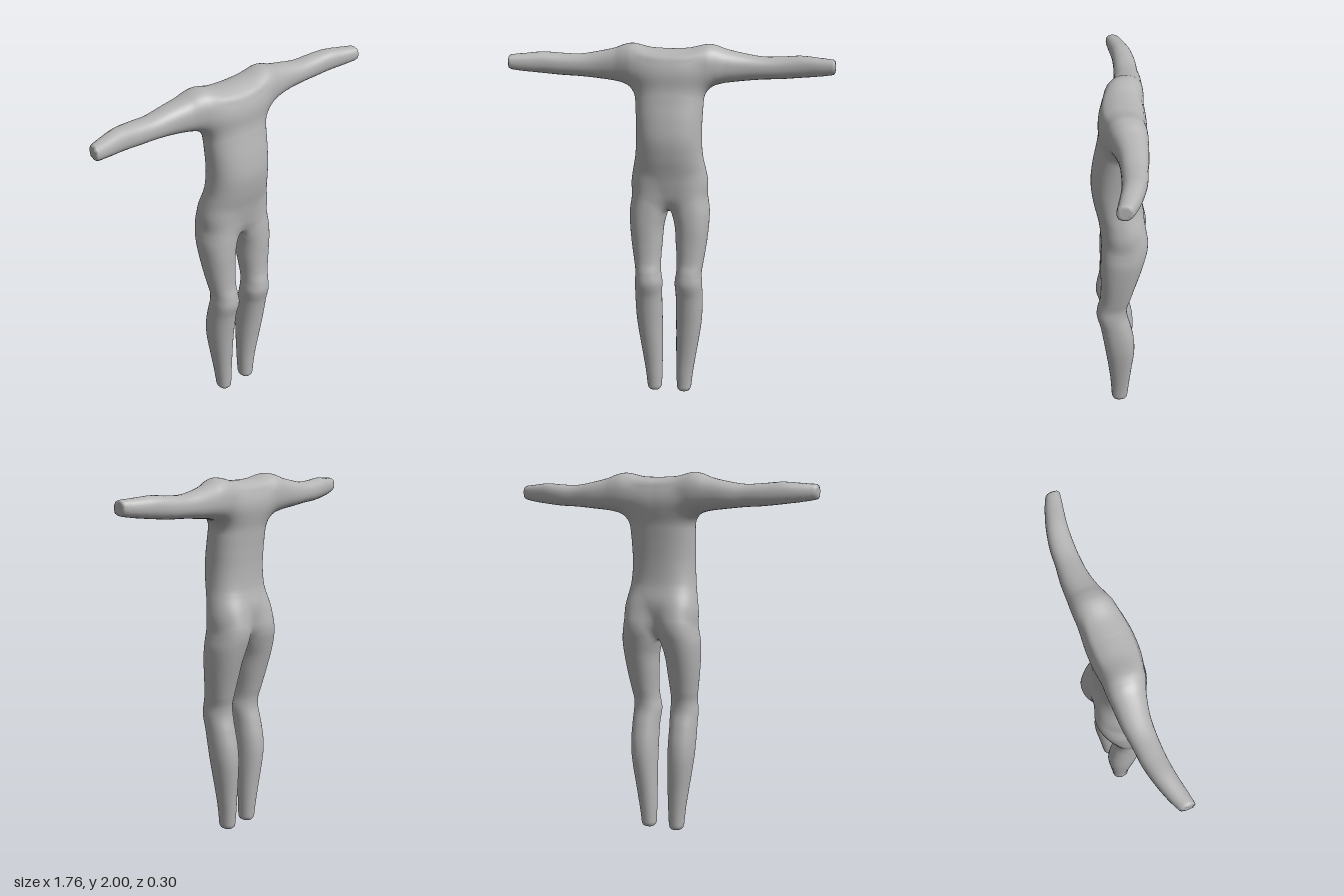
import * as THREE from 'three';

// Profile rows: [station, side A min, side A max, back z / front z]
// torso: y, -halfWidth, halfWidth, zBack, zFront
const TORSO = [
  [1.10, -0.13, 0.13, -0.07, 0.07], [1.16, -0.18, 0.18, -0.11, 0.095], [1.22, -0.205, 0.205, -0.125, 0.108],
  [1.30, -0.203, 0.203, -0.13, 0.122], [1.40, -0.185, 0.185, -0.11, 0.144], [1.50, -0.178, 0.178, -0.105, 0.155],
  [1.60, -0.180, 0.180, -0.108, 0.145], [1.70, -0.185, 0.185, -0.115, 0.125], [1.78, -0.19, 0.19, -0.122, 0.11],
  [1.86, -0.18, 0.18, -0.115, 0.095], [1.92, -0.16, 0.16, -0.09, 0.07],
];
// leg: y, inner x, outer x, zBack, zFront
const LEG = [
  [0, 0.045, 0.125, -0.04, 0.05], [0.1, 0.042, 0.135, -0.05, 0.055], [0.2, 0.04, 0.15, -0.06, 0.062],
  [0.4, 0.04, 0.181, -0.08, 0.086], [0.5, 0.04, 0.189, -0.076, 0.1], [0.6, 0.04, 0.19, -0.056, 0.116],
  [0.68, 0.036, 0.189, -0.037, 0.135], [0.74, 0.044, 0.186, -0.039, 0.129], [0.8, 0.045, 0.195, -0.055, 0.115],
  [0.9, 0.038, 0.21, -0.083, 0.11], [1.0, 0.03, 0.22, -0.112, 0.11], [1.08, 0.01, 0.223, -0.134, 0.108],
  [1.14, 0, 0.215, -0.147, 0.105], [1.2, 0, 0.205, -0.147, 0.1], [1.28, 0.01, 0.19, -0.125, 0.09],
  [1.36, 0.03, 0.15, -0.08, 0.07],
];
// arm and shoulder: x, yBottom, yTop, zBack, zFront
const ARM = [
  [0, 1.77, 1.974, -0.12, 0.09], [0.1, 1.77, 1.979, -0.125, 0.09], [0.2, 1.775, 2.0, -0.132, 0.078],
  [0.25, 1.785, 1.992, -0.132, 0.062], [0.3, 1.795, 1.973, -0.13, 0.044], [0.4, 1.806, 1.95, -0.127, 0.022],
  [0.5, 1.815, 1.935, -0.116, 0.015], [0.6, 1.82, 1.938, -0.109, 0.015], [0.7, 1.83, 1.945, -0.09, 0.022],
  [0.8, 1.842, 1.938, -0.06, 0.038], [0.885, 1.856, 1.932, -0.025, 0.052],
];

// Smooth interpolation of a profile row at station t
function sample(rows, t) {
  const last = rows.length - 1;
  if (t <= rows[0][0]) return rows[0];
  if (t >= rows[last][0]) return rows[last];
  let i = 0;
  while (rows[i + 1][0] < t) i++;
  const a = rows[Math.max(0, i - 1)], b = rows[i], c = rows[i + 1], d = rows[Math.min(last, i + 2)];
  const h = c[0] - b[0], s = (t - b[0]) / h, s2 = s * s, s3 = s2 * s;
  return b.map((v, k) => {
    const m0 = (c[k] - a[k]) / (c[0] - a[0]) * h, m1 = (d[k] - v) / (d[0] - b[0]) * h;
    return v * (2 * s3 - 3 * s2 + 1) + m0 * (s3 - 2 * s2 + s) + c[k] * (3 * s2 - 2 * s3) + m1 * (s3 - s2);
  });
}

function smoothMin(a, b, k) {
  const h = Math.max(k - Math.abs(a - b), 0) / k;
  return Math.min(a, b) - h * h * k / 4;
}
const smoothMax = (a, b, k) => -smoothMin(-a, -b, k);

// Signed radial distance to a rounded limb, capped at both stations
function limb(rows, t, u, z, power, cap) {
  const [, u0, u1, z0, z1] = sample(rows, t);
  const ru = (u1 - u0) / 2, rz = (z1 - z0) / 2;
  const pu = u - (u0 + u1) / 2, pz = z - (z0 + z1) / 2;
  const q = Math.pow(Math.pow(Math.abs(pu / ru), power) + Math.pow(Math.abs(pz / rz), power), 1 / power);
  const d = q < 1e-4 ? -Math.min(ru, rz) : (q - 1) * Math.hypot(pu, pz) / q;
  return smoothMax(d, Math.max(rows[0][0] - t, t - rows[rows.length - 1][0]), cap);
}

// The whole body: mirrored limbs blended into the torso
function body(x, y, z) {
  const ax = Math.abs(x);
  const torso = limb(TORSO, y, ax, z, 2.3, 0.03);
  const leg = limb(LEG, y, ax, z, 2.2, 0.03);
  // the shoulder girdle runs straight through the centre, so only its far end is capped
  const arm = limb(ARM.map ? ARM : [], Math.max(ax, 0.0001), y, z, 2.3, 0.0001);
  const hand = smoothMax(arm, ax - 0.885, 0.025);
  return smoothMin(smoothMin(torso, leg, 0.035), hand, 0.075);
}

function gradient(x, y, z) {
  const e = 0.004;
  return new THREE.Vector3(
    body(x + e, y, z) - body(x - e, y, z),
    body(x, y + e, z) - body(x, y - e, z),
    body(x, y, z + e) - body(x, y, z - e),
  ).divideScalar(2 * e);
}

// Turn the blended body into one smooth quad skin
function skinGeometry() {
  const step = 0.016, min = [-0.912, -0.04, -0.2], size = [115, 131, 26];
  const stride = [1, size[0], size[0] * size[1]];
  const at = (i, k) => min[k] + i * step;
  const f = new Float32Array(size[0] * size[1] * size[2]);
  const eachNode = (end, visit) => {
    for (let k = 0; k < size[2] - end; k++)
      for (let j = 0; j < size[1] - end; j++)
        for (let i = 0; i < size[0] - end; i++) visit([i, j, k], i + j * stride[1] + k * stride[2]);
  };
  eachNode(0, (n, id) => { f[id] = body(at(n[0], 0), at(n[1], 1), at(n[2], 2)); });

  // One vertex in every cell that the surface crosses
  const positions = [], normals = [], indices = [], vertexOf = new Map();
  eachNode(1, (n, id) => {
    const p = new THREE.Vector3();
    let hits = 0;
    for (let corner = 0; corner < 8; corner++) {
      const o = [corner & 1, (corner >> 1) & 1, corner >> 2];
      const a = id + o[0] + o[1] * stride[1] + o[2] * stride[2];
      for (let axis = 0; axis < 3; axis++) {
        if (o[axis]) continue;
        const fa = f[a], fb = f[a + stride[axis]];
        if ((fa < 0) === (fb < 0)) continue;
        const c = [n[0] + o[0], n[1] + o[1], n[2] + o[2]];
        c[axis] += fa / (fa - fb);
        p.add(new THREE.Vector3(at(c[0], 0), at(c[1], 1), at(c[2], 2)));
        hits++;
      }
    }
    if (!hits) return;
    p.divideScalar(hits);
    // Settle the vertex onto the surface
    for (let s = 0; s < 2; s++) {
      const g = gradient(p.x, p.y, p.z);
      const move = -body(p.x, p.y, p.z) / Math.max(g.lengthSq(), 0.3);
      p.addScaledVector(g, THREE.MathUtils.clamp(move, -step / 2, step / 2));
    }
    vertexOf.set(id, positions.length / 3);
    positions.push(p.x, p.y, p.z);
    const normal = gradient(p.x, p.y, p.z).normalize();
    normals.push(normal.x, normal.y, normal.z);
  });

  // One quad around every grid edge that the surface crosses
  eachNode(1, (n, id) => {
    for (let axis = 0; axis < 3; axis++) {
      const inside = f[id] < 0;
      if (inside === (f[id + stride[axis]] < 0)) continue;
      const u = stride[(axis + 1) % 3], v = stride[(axis + 2) % 3];
      const [a, b, c, d] = [id - u - v, id - v, id, id - u].map((cell) => vertexOf.get(cell));
      if (inside) indices.push(a, b, c, a, c, d);
      else indices.push(a, c, b, a, d, c);
    }
  });

  const geometry = new THREE.BufferGeometry();
  geometry.setAttribute('position', new THREE.Float32BufferAttribute(positions, 3));
  geometry.setAttribute('normal', new THREE.Float32BufferAttribute(normals, 3));
  geometry.setIndex(indices);
  return geometry;
}

export function createModel() {
  const model = new THREE.Group();
  model.name = 'headlessBody';
  const grey = new THREE.MeshStandardMaterial({ color: 0xb4b4b4 });
  grey.name = 'plain grey';
  const skin = new THREE.Mesh(skinGeometry(), grey);
  skin.name = 'bodySkin';
  model.add(skin);
  return model;
}
